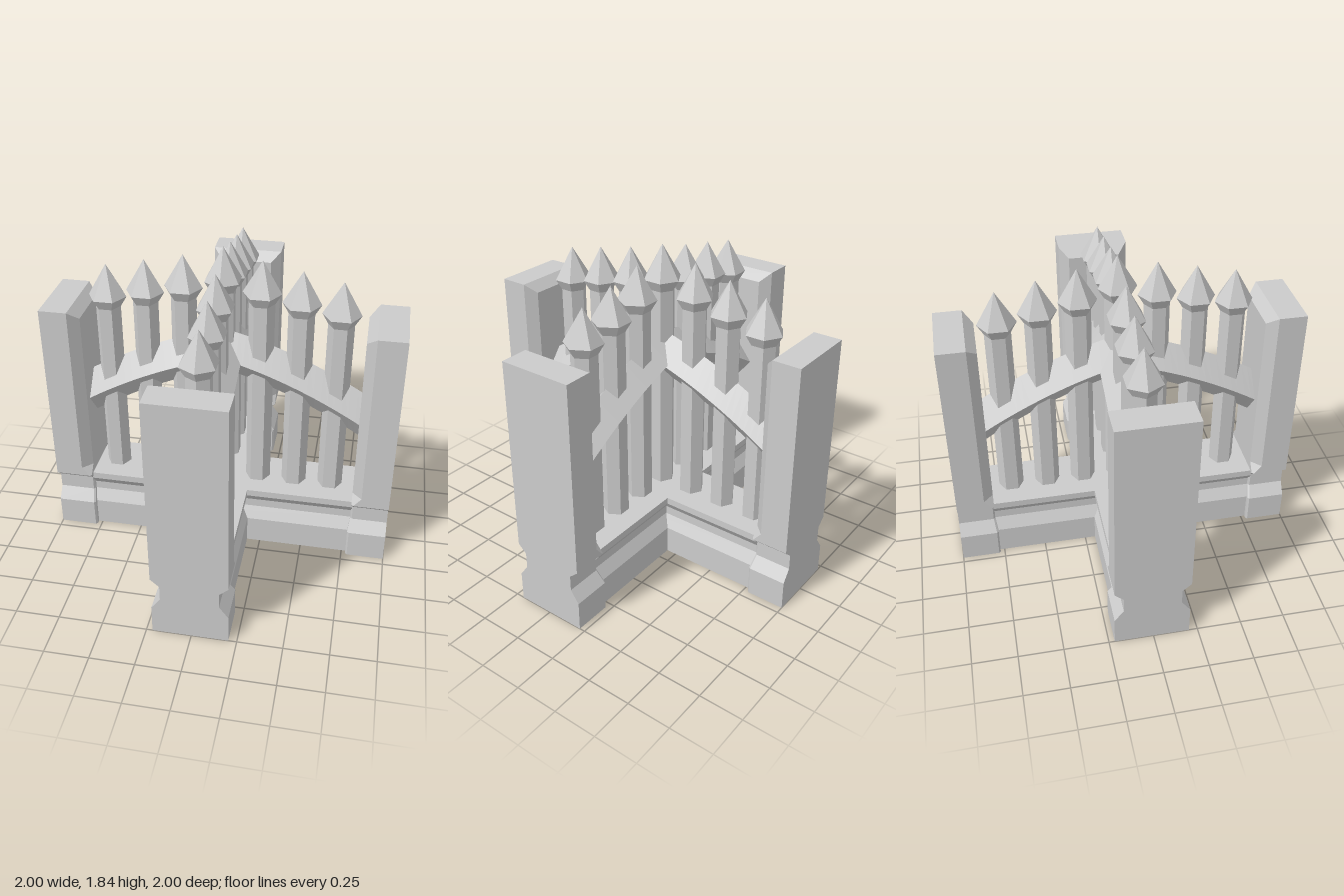
import * as THREE from 'three';

const material = new THREE.MeshStandardMaterial({ color: 0xcccccc, flatShading: true });

function mesh(name, geometry) {
  const m = new THREE.Mesh(geometry, material);
  m.name = name;
  return m;
}

// Joins equal-sized rings of points (counterclockwise seen from the far end) into a closed solid
function loft(rings) {
  const n = rings[0].length, last = rings.length - 1, index = [];
  for (let i = 0; i < last; i++) {
    for (let j = 0; j < n; j++) {
      const a = i * n + j, b = i * n + (j + 1) % n;
      index.push(a, b, b + n, a, b + n, a + n);
    }
  }
  for (let j = 1; j < n - 1; j++) {
    index.push(0, j + 1, j, last * n, last * n + j, last * n + j + 1);
  }
  const g = new THREE.BufferGeometry();
  g.setAttribute('position', new THREE.Float32BufferAttribute(rings.flat(2), 3));
  g.setIndex(index);
  g.computeVertexNormals();
  return g;
}

// End pillar on the +x side: [height, half width, inner face, corner chamfer]
function pillarGeometry() {
  const sections = [
    [0, 0.21, 0.775, 0.01], [0.17, 0.21, 0.775, 0.01],
    [0.24, 0.16, 0.785, 0.01], [0.33, 0.16, 0.785, 0.01],
    [0.375, 0.21, 0.785, 0.01], [0.43, 0.21, 0.785, 0.055],
    [1.42, 0.21, 0.785, 0.055], [1.475, 0.21, 0.84, 0],
  ];
  return loft(sections.map(([y, w, x, c]) => [
    [1, y, w], [1, y, -w], [x + c, y, -w], [x, y, -w + c], [x, y, w - c], [x + c, y, w],
  ]));
}

// Low moulded wall running along x
function wallGeometry() {
  const side = [[0.18, 0], [0.18, 0.165], [0.14, 0.235], [0.14, 0.285], [0.175, 0.335], [0.175, 0.375]];
  const outline = [...side, ...side.map(([z, y]) => [-z, y]).reverse()];
  const shape = new THREE.Shape(outline.map(([x, y]) => new THREE.Vector2(x, y)));
  return new THREE.ExtrudeGeometry(shape, { depth: 1.58, bevelEnabled: false })
    .translate(0, 0, -0.79).rotateY(Math.PI / 2);
}

// Pointed arch with a diamond cross-section
function archGeometry() {
  const rings = [];
  for (let i = 0; i <= 40; i++) {
    const x = -0.8 + i * 0.04, d = Math.abs(x);
    const y = 1.22 - 0.26 * d - 0.23 * d * d, h = 0.13 + 0.02 * d;
    rings.push([[x, y + h, 0], [x, y, 0.115], [x, y - h, 0], [x, y, -0.115]]);
  }
  return loft(rings);
}

// Six-sided bar with a spear head
function barGeometry(top) {
  const profile = [[0, 0.36], [0.073, 0.36], [0.073, top - 0.25], [0.108, top - 0.19], [0, top]];
  return new THREE.LatheGeometry(profile.map(([x, y]) => new THREE.Vector2(x, y)), 6)
    .rotateY(Math.PI / 2);
}

// One straight fence panel along x
function createPanel(name, archOffset, withCentre) {
  const panel = new THREE.Group();
  panel.name = name;
  const wall = mesh('baseWall', wallGeometry());
  const arch = mesh('archRail', archGeometry());
  wall.position.z = -0.01;
  arch.position.z = archOffset;
  panel.add(wall, arch);
  const tops = [1.84, 1.78, 1.735, 1.69];
  for (let i = -3; i <= 3; i++) {
    if (i === 0 && !withCentre) continue;
    const bar = mesh('spearBar', barGeometry(tops[Math.abs(i)]));
    bar.position.set(-0.012 + i * 0.2175, 0, -0.008);
    panel.add(bar);
  }
  return panel;
}

export function createModel() {
  const model = new THREE.Group();
  model.name = 'crossFence';

  // Two crossing panels sharing the centre bar
  const across = createPanel('panelAcross', -0.015, false);
  const along = createPanel('panelAlong', -0.01, true);
  along.rotation.y = -Math.PI / 2;
  along.position.x = -0.018;
  model.add(across, along);

  // Four end pillars
  const pillar = pillarGeometry();
  ['leftPillar', 'backPillar', 'rightPillar', 'frontPillar'].forEach((name, i) => {
    const p = mesh(name, pillar);
    p.rotation.y = i * Math.PI / 2;
    if (i % 2) p.position.x = -0.006;
    else p.position.z = -0.008;
    model.add(p);
  });
  return model;
}
